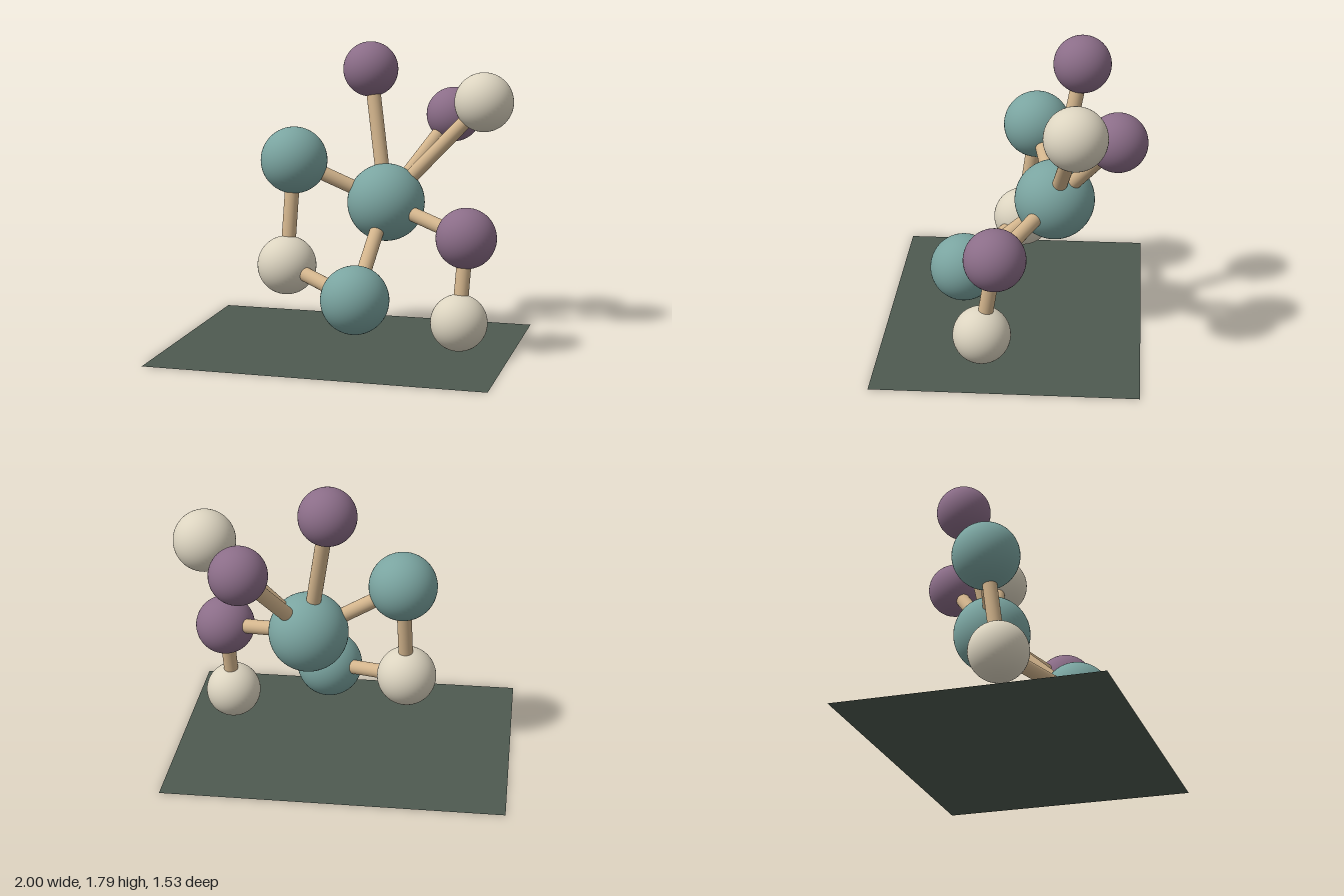
import * as THREE from 'three';

const material = (name, color) => {
  const m = new THREE.MeshStandardMaterial({ color });
  m.name = name;
  return m;
};

export function createModel() {
  const group = new THREE.Group();
  group.name = 'ballAndStickModel';

  const teal = material('teal', 0x7aa4a0);
  const plum = material('plum', 0x8b6d88);
  const cream = material('cream', 0xdcd4c0);
  const wood = material('wood', 0xd2b48c);
  const slate = material('slate green', 0x4e5a50);
  slate.side = THREE.DoubleSide;

  // Balls: position, radius, colour
  const balls = {
    centreBall: [[0.19, 0.835, -0.24], 0.233, teal],
    upperRightBall: [[-0.345, 1.09, -0.105], 0.2, teal],
    frontBall: [[0.137, 0.352, 0.3], 0.2, teal],
    lowerRightBall: [[-0.367, 0.465, -0.018], 0.177, cream],
    topBall: [[0.057, 1.62, -0.385], 0.166, plum],
    backBall: [[0.527, 1.335, -0.6], 0.166, plum],
    upperLeftBall: [[0.754, 1.44, -0.375], 0.177, cream],
    leftBall: [[0.74, 0.7, 0.065], 0.177, plum],
    lowerLeftBall: [[0.718, 0.218, 0.143], 0.166, cream],
  };
  for (const [name, [position, radius, mat]] of Object.entries(balls)) {
    const ball = new THREE.Mesh(new THREE.SphereGeometry(radius, 48, 32), mat);
    ball.name = name;
    ball.position.set(...position);
    group.add(ball);
  }

  // Sticks joining pairs of balls, centre to centre
  const links = [
    ['centreBall', 'upperRightBall'], ['centreBall', 'frontBall'],
    ['centreBall', 'topBall'], ['centreBall', 'backBall'],
    ['centreBall', 'upperLeftBall'], ['centreBall', 'leftBall'],
    ['upperRightBall', 'lowerRightBall'], ['lowerRightBall', 'frontBall'],
    ['leftBall', 'lowerLeftBall'],
  ];
  const up = new THREE.Vector3(0, 1, 0);
  links.forEach(([from, to], i) => {
    const a = new THREE.Vector3(...balls[from][0]);
    const b = new THREE.Vector3(...balls[to][0]);
    const stick = new THREE.Mesh(
      new THREE.CylinderGeometry(0.043, 0.043, a.distanceTo(b), 24), wood);
    stick.name = `stick${i + 1}`;
    stick.position.lerpVectors(a, b, 0.5);
    stick.quaternion.setFromUnitVectors(up, b.clone().sub(a).normalize());
    group.add(stick);
  });

  // Flat sheet underneath
  const sheet = new THREE.Mesh(new THREE.PlaneGeometry(2, 1.52), slate);
  sheet.name = 'baseSheet';
  sheet.rotation.x = -Math.PI / 2;
  group.add(sheet);

  return group;
}
